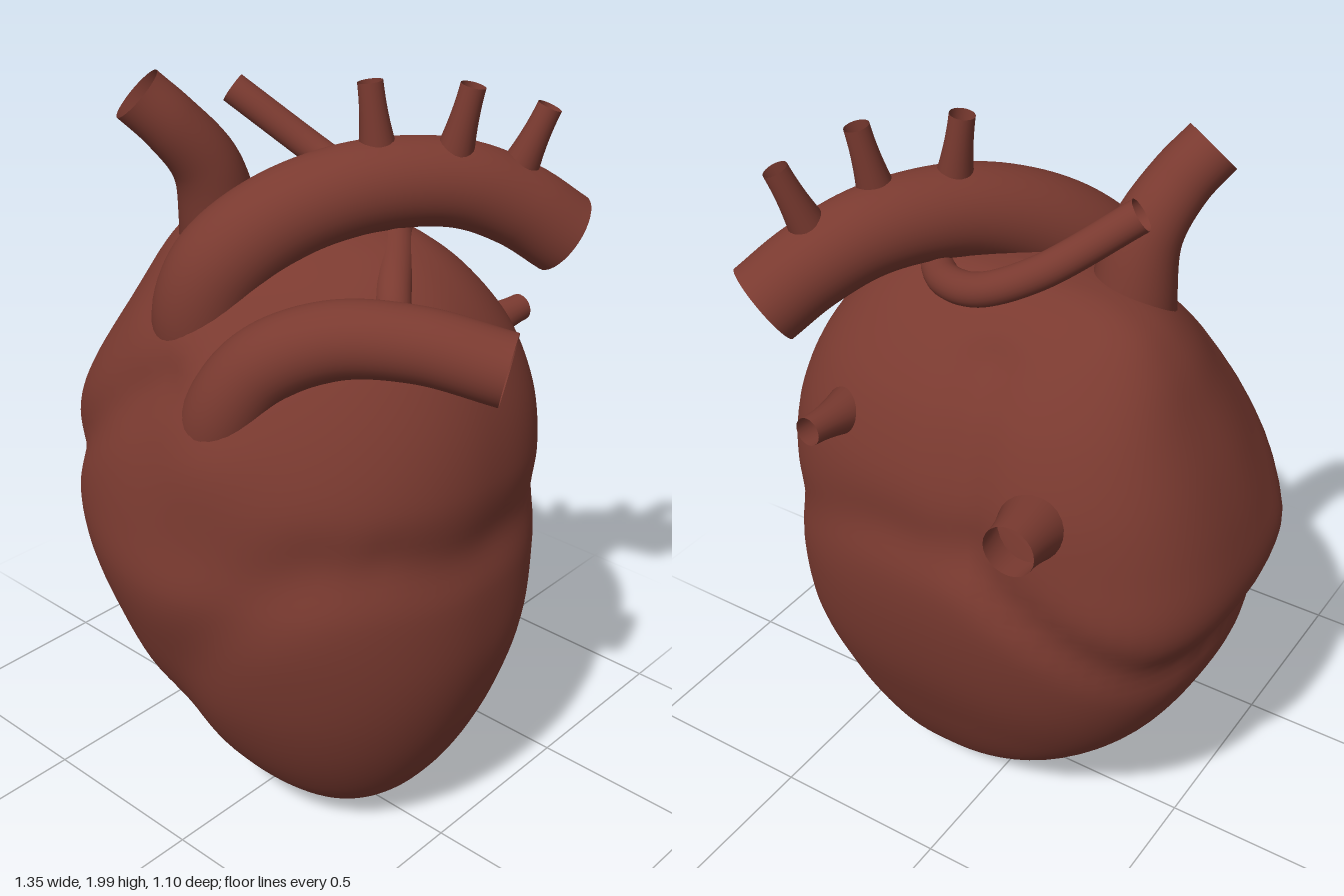
import * as THREE from 'three';

const V = (p) => new THREE.Vector3(...p);
const spline = (pts) => new THREE.CatmullRomCurve3(pts.map(V));

// Body outline per height: y, xMin, xMax, zBack, zFront
const ROWS = [
  [0.0, 0.18, 0.18, -0.03, -0.03],
  [0.02, 0.08, 0.265, -0.11, 0.07],
  [0.08, -0.04, 0.345, -0.19, 0.19],
  [0.2, -0.25, 0.44, -0.275, 0.31],
  [0.4, -0.45, 0.53, -0.375, 0.43],
  [0.6, -0.57, 0.575, -0.455, 0.5],
  [0.8, -0.64, 0.575, -0.5, 0.545],
  [0.95, -0.675, 0.56, -0.51, 0.53],
  [1.1, -0.65, 0.565, -0.495, 0.5],
  [1.25, -0.6, 0.54, -0.47, 0.44],
  [1.4, -0.53, 0.48, -0.41, 0.35],
  [1.52, -0.465, 0.4, -0.32, 0.245],
  [1.6, -0.39, 0.31, -0.235, 0.14],
  [1.645, -0.28, 0.2, -0.16, 0.04],
  [1.66, -0.04, -0.04, -0.07, -0.07],
];

// Furrows (positive depth) and swellings (negative depth): path, depth, width
const RELIEF = [
  // ring between the upper and lower chambers, left half then right half
  [[[0.48, 0.96, 0.24], [0.55, 0.91, 0.05], [0.4, 0.98, -0.35], [0.13, 1.07, -0.5], [-0.02, 1.07, -0.5]], 0.015, 0.08],
  [[[-0.15, 1.06, -0.5], [-0.4, 0.9, -0.47], [-0.57, 0.79, -0.38], [-0.66, 0.8, 0], [-0.6, 0.85, 0.2],
    [-0.4, 1.06, 0.38], [-0.2, 1.23, 0.4], [-0.08, 1.31, 0.38]], 0.028, 0.07],
  // between the two upper chambers at the back
  [[[-0.14, 1.15, -0.48], [-0.12, 1.27, -0.45], [-0.1, 1.5, -0.33]], 0.028, 0.08],
  // between the two lower chambers at the front
  [[[0.36, 0.95, 0.38], [0.27, 0.86, 0.45], [0.1, 0.68, 0.51], [-0.03, 0.48, 0.46], [-0.12, 0.3, 0.36]], 0.018, 0.1],
  // front lobe of the right upper chamber
  [[[-0.6, 1.0, 0.2], [-0.47, 1.17, 0.28], [-0.28, 1.36, 0.28]], -0.025, 0.12],
  // mound carrying the great vessels
  [[[-0.1, 1.46, 0.26], [0.0, 1.33, 0.36], [0.08, 1.2, 0.42]], -0.03, 0.14],
].map(([pts, depth, width]) => ({ pts: spline(pts).getPoints(60), depth, width }));

function reliefDepth(p) {
  let total = 0;
  for (const f of RELIEF) {
    let d2 = Infinity;
    for (const q of f.pts) d2 = Math.min(d2, p.distanceToSquared(q));
    total += f.depth * Math.exp(-d2 / (f.width * f.width));
  }
  return total;
}

// Lofted body: rounded front, flatter back
function bodyGeometry() {
  const rings = 84, sides = 88, pos = [], index = [];
  const xs = spline(ROWS.map((r) => [r[1], r[0], r[2]]));
  const zs = spline(ROWS.map((r) => [r[3], r[0], r[4]]));
  const p = new THREE.Vector3();
  for (let i = 0; i <= rings; i++) {
    const a = xs.getPoint(i / rings), b = zs.getPoint(i / rings);
    const cx = (a.x + a.z) / 2, rx = Math.abs(a.z - a.x) / 2;
    const cz = (b.x + b.z) / 2 - 0.04 * Math.min(1, rx * 2);
    for (let j = 0; j < sides; j++) {
      const t = (j / sides) * Math.PI * 2, c = Math.cos(t), s = Math.sin(t);
      const n = s > 0 ? 2 : 2.8;
      const k = Math.pow(Math.abs(c) ** n + Math.abs(s) ** n, -1 / n);
      const rz = rx < 1e-4 ? 0 : s > 0 ? b.z - cz : cz - b.x;
      p.set(cx + rx * c * k, Math.max(0, a.y), cz + rz * s * k);
      const d = Math.max(-rx * 0.3, Math.min(reliefDepth(p), rx * 0.3));
      pos.push(p.x - d * c, p.y, p.z - d * s);
    }
  }
  for (let i = 0; i < rings; i++) {
    for (let j = 0; j < sides; j++) {
      const a = i * sides + j, b = i * sides + ((j + 1) % sides);
      index.push(a, a + sides, b, b, a + sides, b + sides);
    }
  }
  const g = new THREE.BufferGeometry();
  g.setAttribute('position', new THREE.Float32BufferAttribute(pos, 3));
  g.setIndex(index);
  g.computeVertexNormals();
  return g;
}

// Open vessel whose radius runs smoothly from r0 to r1
function vesselGeometry(pts, r0, r1, steps = 48, sides = 28) {
  const g = new THREE.TubeGeometry(spline(pts), steps, 0, sides, false);
  const pos = g.attributes.position, nor = g.attributes.normal;
  for (let i = 0; i < pos.count; i++) {
    const u = Math.floor(i / (sides + 1)) / steps;
    const r = r1 + (r0 - r1) * (1 - u) ** 2;
    pos.setXYZ(i, pos.getX(i) + nor.getX(i) * r, pos.getY(i) + nor.getY(i) * r, pos.getZ(i) + nor.getZ(i) * r);
  }
  return g;
}

export function createModel() {
  const group = new THREE.Group();
  const tissue = new THREE.MeshStandardMaterial({ color: 0x7a3a30, side: THREE.DoubleSide });
  tissue.name = 'reddish brown tissue';
  const add = (name, geometry) => {
    const mesh = new THREE.Mesh(geometry, tissue);
    mesh.name = name;
    group.add(mesh);
  };

  add('chambers', bodyGeometry());

  // Great vessels
  add('aorticArch', vesselGeometry([[-0.14, 1.2, 0.15], [-0.13, 1.33, 0.21], [-0.12, 1.45, 0.235], [-0.085, 1.56, 0.21],
    [0.0, 1.67, 0.105], [0.125, 1.74, -0.055], [0.26, 1.735, -0.25], [0.355, 1.67, -0.38], [0.428, 1.59, -0.473]],
    0.145, 0.105, 64, 36));
  add('pulmonaryTrunk', vesselGeometry([[0.03, 1.0, 0.28], [0.04, 1.14, 0.34], [0.07, 1.27, 0.355], [0.145, 1.4, 0.31],
    [0.28, 1.478, 0.22], [0.45, 1.485, 0.115], [0.635, 1.445, 0.015]], 0.125, 0.088, 64, 36));
  add('upperVenaCava', vesselGeometry([[-0.27, 1.42, 0.01], [-0.275, 1.6, 0.03], [-0.285, 1.74, 0.065],
    [-0.325, 1.85, 0.14], [-0.375, 1.925, 0.2]], 0.14, 0.075, 48, 32));
  add('rightPulmonaryArtery', vesselGeometry([[0.37, 1.42, 0.1], [0.32, 1.54, 0.05], [0.21, 1.61, -0.09], [0.09, 1.63, -0.21],
    [-0.03, 1.66, -0.25], [-0.17, 1.73, -0.22], [-0.365, 1.88, -0.115]], 0.045, 0.04, 64, 24));

  // Three branches flaring out of the arch
  const branches = [
    [[0.146, 1.825, -0.09], [0.122, 1.99, -0.085]],
    [[0.27, 1.815, -0.225], [0.298, 1.98, -0.25]],
    [[0.355, 1.765, -0.375], [0.4, 1.915, -0.42]],
  ];
  branches.forEach(([a, b], i) => add(`archBranch${i + 1}`, vesselGeometry([a, b], 0.048, 0.031, 16, 20)));

  // Flared vein stubs at the back
  add('rightVeinStub', vesselGeometry([[-0.29, 1.21, -0.41], [-0.3, 1.215, -0.55]], 0.1, 0.066, 16, 24));
  add('leftVeinStub', vesselGeometry([[0.26, 1.315, -0.4], [0.27, 1.325, -0.54]], 0.06, 0.036, 16, 20));

  return group;
}
